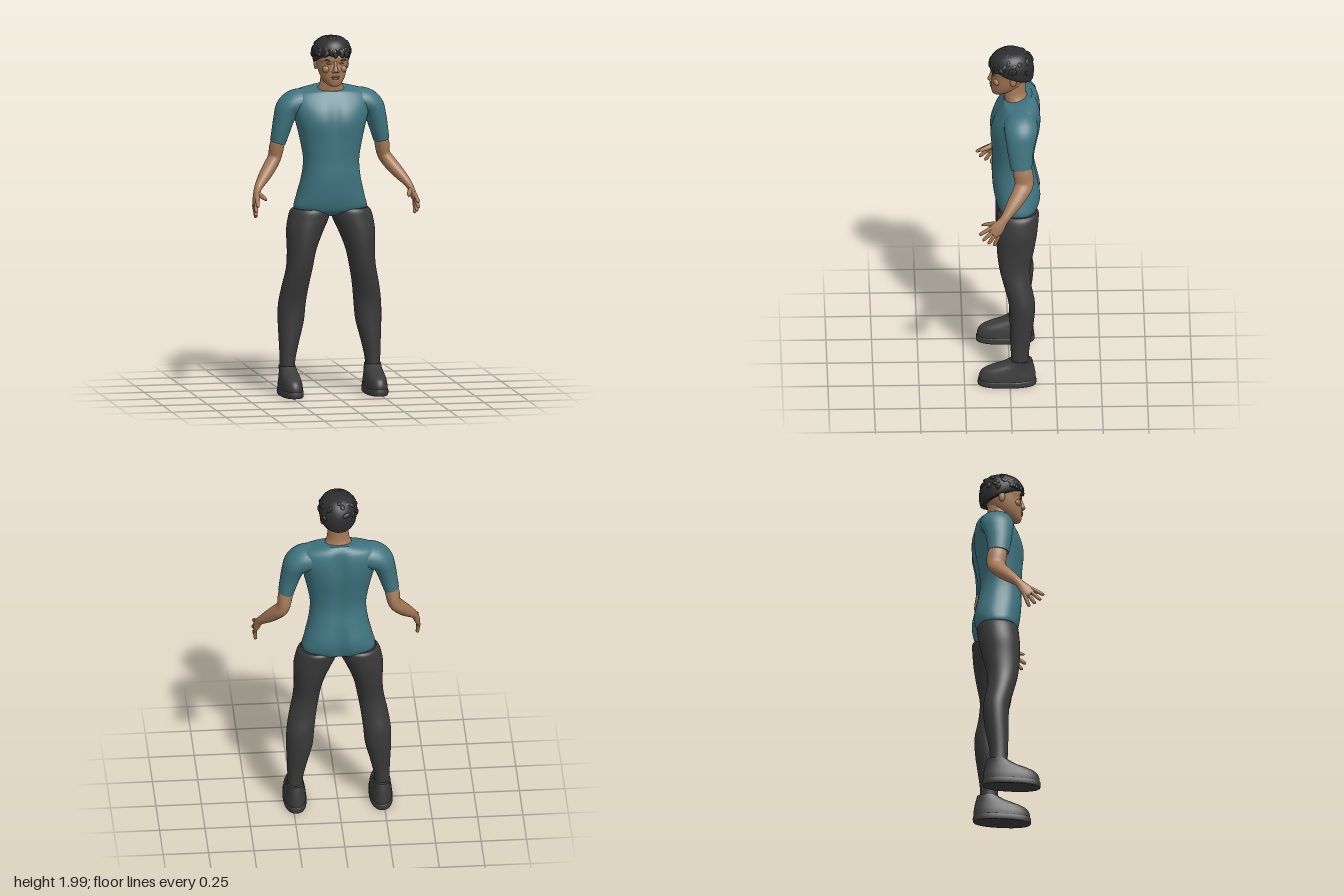
import * as THREE from 'three';

const mat = (name, color) => Object.assign(new THREE.MeshStandardMaterial({ color }), { name });

// Catmull-Rom blend of every column in a table of sections
function smooth(rows, n = 4) {
  const out = [];
  for (let i = 0; i < rows.length - 1; i++) {
    const [a, b, c, d] = [i - 1, i, i + 1, i + 2].map(k => rows[Math.min(Math.max(k, 0), rows.length - 1)]);
    for (let k = 0; k < n; k++) {
      const t = k / n;
      out.push(b.map((v, j) => v + 0.5 * t * (c[j] - a[j] +
        t * (2 * a[j] - 5 * v + 4 * c[j] - d[j] + t * (3 * (v - c[j]) + d[j] - a[j])))));
    }
  }
  out.push(rows[rows.length - 1]);
  return out;
}

// Skin closed rings of points into a smooth surface with end caps
function skinRings(rings, flip) {
  const n = rings[0].length, pos = [], idx = [];
  const tri = (a, b, c) => (flip ? idx.push(a, c, b) : idx.push(a, b, c));
  rings.forEach(r => r.forEach(p => pos.push(p.x, p.y, p.z)));
  for (let i = 0; i < rings.length - 1; i++) for (let j = 0; j < n; j++) {
    const a = i * n + j, b = i * n + (j + 1) % n;
    tri(a, a + n, b);
    tri(b, a + n, b + n);
  }
  [rings[0], rings[rings.length - 1]].forEach((r, end) => {
    const start = pos.length / 3, c = new THREE.Vector3();
    r.forEach(p => { pos.push(p.x, p.y, p.z); c.addScaledVector(p, 1 / n); });
    pos.push(c.x, c.y, c.z);
    for (let j = 0; j < n; j++) {
      const a = start + j, b = start + (j + 1) % n;
      end ? tri(a, start + n, b) : tri(a, b, start + n);
    }
  });
  const g = new THREE.BufferGeometry();
  g.setAttribute('position', new THREE.Float32BufferAttribute(pos, 3));
  g.setIndex(idx);
  g.computeVertexNormals();
  return g;
}

// Level sections: [y, xMin, xMax, zFront, zBack, frontGroove, backGroove, tilt]
function stack(rows, { side = 1, seg = 40, power = 1, fine = 4 } = {}) {
  const full = rows.map(r => [...r, 0, 0, 0].slice(0, 8));
  const pw = v => Math.sign(v) * Math.abs(v) ** power;
  return skinRings(smooth(full, fine).map(([y, x0, x1, zf, zb, gf, gb, tilt]) =>
    Array.from({ length: seg }, (_, j) => {
      const t = j / seg * Math.PI * 2, x = (x0 + x1) / 2 + pw(Math.cos(t)) * (x1 - x0) / 2;
      let z = (zf + zb) / 2 + pw(Math.sin(t)) * (zf - zb) / 2;
      const dip = Math.exp(-((x / 0.035) ** 2));
      z += Math.sin(t) > 0 ? -gf * dip : gb * dip;
      return new THREE.Vector3(x * side, y + tilt * z, z);
    })), side < 0);
}

// Limb sections along a path: [x, y, z, radius across, radius towards front]
function limb(rows, side, seg = 20, fine = 4) {
  const s = smooth(rows, fine), P = s.map(r => new THREE.Vector3(r[0], r[1], r[2]));
  return skinRings(s.map((r, i) => {
    const T = P[Math.min(i + 1, P.length - 1)].clone().sub(P[Math.max(i - 1, 0)]).normalize();
    const N = new THREE.Vector3(0, 0, 1).addScaledVector(T, -T.z).normalize();
    const S = T.clone().cross(N);
    return Array.from({ length: seg }, (_, j) => {
      const t = j / seg * Math.PI * 2;
      const p = P[i].clone().addScaledVector(S, Math.cos(t) * r[3]).addScaledVector(N, Math.sin(t) * r[4]);
      p.x *= side;
      return p;
    });
  }), side < 0);
}

export function createModel() {
  const skin = mat('skin', 0xa67a58), shirt = mat('shirt teal', 0x3f7480), trousers = mat('trousers charcoal', 0x3a3a3b);
  const hair = mat('hair black', 0x2e2e30), shoe = mat('shoe grey', 0x3c3c3c), lip = mat('lips', 0x8f6148);
  const model = new THREE.Group();
  const add = (name, geo, m) => {
    const o = new THREE.Mesh(geo, m);
    o.name = name;
    model.add(o);
    return o;
  };
  const ball = new THREE.SphereGeometry(1, 14, 10);
  const blob = (name, m, p, s, rz = 0, rx = 0) => {
    const o = add(name, ball, m);
    o.position.set(...p);
    o.scale.set(...s);
    o.rotation.set(rx, 0, rz);
    return o;
  };

  // Shirt body, with chest, spine and seat grooves
  add('shirtBody', stack([
    [0.985, -0.02, 0.02, 0, -0.09],
    [1.0, -0.09, 0.09, 0.035, -0.135, 0, 0.01],
    [1.025, -0.197, 0.197, 0.064, -0.158, 0, 0.02],
    [1.1, -0.187, 0.187, 0.085, -0.175, 0, 0.025],
    [1.2, -0.163, 0.163, 0.095, -0.156, 0, 0.012],
    [1.3, -0.154, 0.154, 0.095, -0.138, 0, 0.01],
    [1.4, -0.17, 0.17, 0.1, -0.148, 0.004, 0.012],
    [1.5, -0.193, 0.193, 0.108, -0.168, 0.014, 0.018],
    [1.57, -0.213, 0.213, 0.092, -0.174, 0.012, 0.022],
    [1.63, -0.225, 0.225, 0.06, -0.17, 0.004, 0.02],
    [1.672, -0.195, 0.195, 0.035, -0.155, 0, 0.01, -0.05],
    [1.685, -0.1, 0.1, 0.03, -0.125, 0, 0, -0.2],
  ], { seg: 72, power: 0.85 }), shirt);

  for (const side of [1, -1]) {
    const tag = side > 0 ? 'left' : 'right';
    // Sleeve and shoulder
    add(tag + 'Sleeve', limb([
      [0.09, 1.615, -0.06, 0.068, 0.085], [0.18, 1.612, -0.06, 0.075, 0.092],
      [0.232, 1.585, -0.06, 0.068, 0.09], [0.256, 1.53, -0.057, 0.058, 0.078],
      [0.272, 1.47, -0.057, 0.051, 0.068], [0.29, 1.395, -0.062, 0.043, 0.058],
    ], side, 28), shirt);
    // Bare arm, wrist and palm
    add(tag + 'Arm', limb([
      [0.283, 1.43, -0.06, 0.036, 0.05], [0.295, 1.37, -0.07, 0.04, 0.054],
      [0.306, 1.31, -0.076, 0.036, 0.052], [0.335, 1.265, -0.053, 0.037, 0.046],
      [0.375, 1.215, -0.015, 0.033, 0.038], [0.412, 1.17, 0.022, 0.024, 0.027],
      [0.428, 1.143, 0.044, 0.019, 0.026], [0.438, 1.11, 0.07, 0.018, 0.036],
      [0.446, 1.08, 0.096, 0.013, 0.039], [0.448, 1.073, 0.102, 0.006, 0.03],
    ], side, 24), skin);
    // Fingers fan out from the palm edge
    const tips = [[0.45, 1.072, 0.173], [0.455, 1.038, 0.155], [0.452, 1.016, 0.124], [0.445, 1.0, 0.092]];
    tips.forEach((tip, i) => {
      const k = [0.443 + i * 0.002, 1.105 - i * 0.016, 0.117 - i * 0.016];
      const at = f => k.map((v, j) => v + (tip[j] - v) * f);
      add(tag + 'Finger' + (i + 1), limb([
        [...at(-0.25), 0.011, 0.011], [...at(0.5), 0.0105, 0.0105],
        [...at(0.88), 0.009, 0.009], [...at(1), 0.003, 0.003]], side, 10, 3), skin);
    });
    add(tag + 'Thumb', limb([
      [0.434, 1.135, 0.06, 0.014, 0.016], [0.416, 1.122, 0.098, 0.013, 0.014],
      [0.404, 1.112, 0.135, 0.01, 0.011], [0.4, 1.105, 0.16, 0.003, 0.004]], side, 10, 3), skin);

    // Trouser leg: thigh, knee, calf, ankle
    add(tag + 'Leg', stack([
      [0.13, 0.2, 0.28, -0.005, -0.105], [0.2, 0.193, 0.281, -0.004, -0.104],
      [0.3, 0.17, 0.285, 0, -0.118], [0.4, 0.145, 0.289, 0.002, -0.133],
      [0.5, 0.135, 0.287, 0.008, -0.137], [0.6, 0.122, 0.271, 0.033, -0.118],
      [0.7, 0.104, 0.25, 0.058, -0.112], [0.8, 0.083, 0.244, 0.07, -0.132],
      [0.9, 0.044, 0.247, 0.073, -0.15], [0.97, 0.012, 0.237, 0.07, -0.158],
      [1.012, 0.006, 0.224, 0.066, -0.161], [1.028, 0.02, 0.208, 0.055, -0.15],
    ], { side }), trousers);

    // Shoe: sole and rounded upper
    add(tag + 'Sole', stack([
      [0, 0.178, 0.296, 0.17, -0.138], [0.006, 0.173, 0.301, 0.177, -0.144],
      [0.03, 0.173, 0.301, 0.177, -0.144], [0.036, 0.177, 0.297, 0.172, -0.139],
    ], { side, power: 0.85, fine: 2 }), shoe);
    add(tag + 'ShoeUpper', stack([
      [0.034, 0.176, 0.298, 0.172, -0.14], [0.06, 0.177, 0.297, 0.17, -0.14],
      [0.09, 0.182, 0.292, 0.152, -0.136], [0.112, 0.187, 0.288, 0.105, -0.132],
      [0.132, 0.191, 0.285, 0.045, -0.127], [0.155, 0.194, 0.285, 0.002, -0.121],
    ], { side, power: 0.9 }), shoe);

    // Paired face details
    blob(tag + 'Ear', skin, [side * 0.087, 1.828, -0.02], [0.011, 0.03, 0.018]);
    blob(tag + 'Brow', hair, [side * 0.037, 1.861, 0.089], [0.023, 0.004, 0.006], side * 0.1);
    blob(tag + 'Eye', lip, [side * 0.034, 1.843, 0.088], [0.014, 0.005, 0.005]);
    blob(tag + 'Cheek', skin, [side * 0.043, 1.81, 0.068], [0.026, 0.022, 0.022]);
    blob(tag + 'Nostril', skin, [side * 0.012, 1.799, 0.101], [0.01, 0.008, 0.011]);
  }

  // Neck and head
  add('neck', stack([
    [1.65, -0.095, 0.095, 0.02, -0.13], [1.69, -0.074, 0.074, 0.027, -0.104],
    [1.73, -0.06, 0.06, 0.035, -0.09], [1.8, -0.058, 0.058, 0.04, -0.09],
  ]), skin);
  add('head', stack([
    [1.715, -0.022, 0.022, 0.085, 0.035], [1.722, -0.036, 0.036, 0.094, 0.012],
    [1.745, -0.056, 0.056, 0.099, -0.035], [1.775, -0.071, 0.071, 0.1, -0.07],
    [1.81, -0.081, 0.081, 0.099, -0.095], [1.843, -0.087, 0.087, 0.095, -0.108],
    [1.865, -0.089, 0.089, 0.101, -0.112], [1.91, -0.088, 0.088, 0.092, -0.11],
    [1.95, -0.06, 0.06, 0.06, -0.08],
  ]), skin);
  add('nose', stack([
    [1.793, -0.008, 0.008, 0.108, 0.085], [1.799, -0.014, 0.014, 0.119, 0.08],
    [1.808, -0.013, 0.013, 0.119, 0.08], [1.83, -0.009, 0.009, 0.109, 0.08],
    [1.857, -0.009, 0.009, 0.1, 0.08],
  ], { seg: 16 }), skin);
  blob('upperLip', lip, [0, 1.771, 0.099], [0.025, 0.005, 0.008]);
  blob('lowerLip', lip, [0, 1.761, 0.098], [0.021, 0.006, 0.008]);

  // Hair cap, higher at the forehead than at the nape
  add('hairCap', stack([
    [1.848, -0.092, 0.092, 0.094, -0.122, 0, 0, 0.38],
    [1.858, -0.1, 0.1, 0.102, -0.13, 0, 0, 0.36],
    [1.885, -0.105, 0.105, 0.106, -0.136, 0, 0, 0.25],
    [1.92, -0.103, 0.103, 0.101, -0.132, 0, 0, 0.14],
    [1.955, -0.085, 0.085, 0.083, -0.11, 0, 0, 0.05],
    [1.977, -0.055, 0.055, 0.053, -0.075], [1.985, -0.012, 0.012, 0.005, -0.03],
  ]), hair);

  // Curled tufts, crowded towards the forehead and sparse behind
  let seed = 11;
  const rnd = () => (seed = (seed * 16807) % 2147483647) / 2147483647;
  const centre = new THREE.Vector3(0, 1.885, -0.015), up = new THREE.Vector3(0, 0, 1);
  for (let i = 0; i < 84; i++) {
    const front = i < 58;
    const a = front ? Math.PI / 2 + (rnd() - 0.5) * 3.3 : rnd() * Math.PI * 2;
    const h = front ? 0.1 + rnd() * 0.8 : -0.1 + rnd() * 0.95;
    const c = Math.sqrt(1 - h * h);
    const d = new THREE.Vector3(Math.cos(a) * c, h, Math.sin(a) * c);
    const o = blob('hairTuft', hair, [0, 0, 0], [0.011 + rnd() * 0.003, 0.019 + rnd() * 0.005, 0.009]);
    o.position.set(d.x * 0.104, d.y * 0.099, d.z * 0.12).add(centre);
    o.quaternion.setFromUnitVectors(up, d);
    o.rotateZ((rnd() - 0.5) * 1.8);
    o.rotateX((rnd() - 0.5) * 0.9);
  }
  return model;
}
